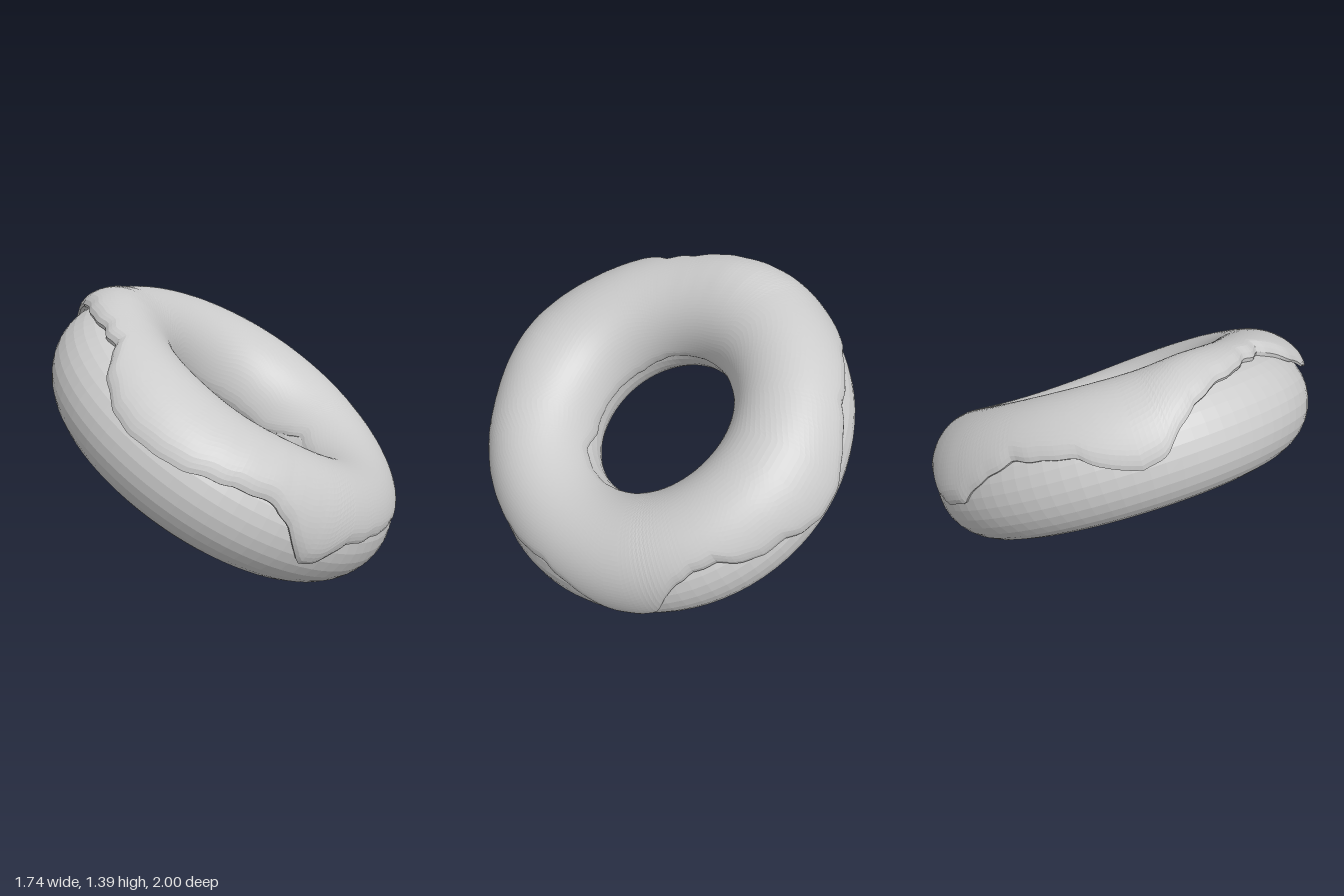
import * as THREE from 'three';

const R = 0.688, TUBE = 0.283, TILT = THREE.MathUtils.degToRad(32.4);

// Height of the icing's outer edge around the ring: [angle in degrees, height]
const OUTER = [
  [-180, .19], [-174, .15], [-168, .07], [-163, -.02], [-156, -.06], [-149, -.02], [-141, .07],
  [-130, .11], [-122, .13], [-112, .09], [-106, .04], [-100, -.01], [-90, -.02], [-84, .03],
  [-80, .09], [-72, .10], [-60, .19], [-52, .20], [-46, .17], [-40, .09], [-35, -.03], [-30, -.06],
  [-24, -.05], [-11, .11], [-1, .18], [11, .165], [29, .15], [48, .11], [56, 0], [62, -.03],
  [66, .04], [71, .13], [77, .188], [90, .185], [102, .13], [115, .09], [127, .10],
  [139, .186], [148, .25], [160, .24], [170, .22], [180, .19],
];
// The same for the edge inside the hole
const INNER = [
  [-180, .05], [-160, .05], [-145, .04], [-120, 0], [-60, -.02], [-40, .07], [-30, .12], [-15, .11],
  [0, .13], [20, .12], [40, .10], [55, .01], [120, 0], [145, .04], [160, .04], [180, .05],
];

function sample(keys, deg) {
  let k = 1;
  while (k < keys.length - 1 && keys[k][0] < deg) k++;
  const [a, b] = [keys[k - 1], keys[k]];
  return THREE.MathUtils.lerp(a[1], b[1], (deg - a[0]) / (b[0] - a[0]));
}

// Bell curve around an angle, wrapping at the full turn
function bell(deg, centre, width) {
  const d = ((deg - centre + 540) % 360) - 180;
  return Math.exp(-((d / width) ** 2));
}

function ringPoint(theta, phi, radius) {
  const r = R + radius * Math.cos(phi);
  return [r * Math.cos(theta), radius * Math.sin(phi), r * Math.sin(theta)];
}

// Closed shell swept round the ring, with uneven edges, drips and lifted flaps
function icingGeometry() {
  const turns = 240, steps = 40, under = 10;
  const loop = steps + under + 2;
  const pos = [], index = [];
  for (let i = 0; i < turns; i++) {
    const deg = -180 + (360 * i) / turns, theta = THREE.MathUtils.degToRad(deg);
    const wobble = 0.004 * Math.sin(theta * 23) + 0.003 * Math.sin(theta * 41 + 1);
    const flap = bell(deg, 182, 20), lip = bell(deg, 98, 26);
    const raise = 0.025 * flap + 0.065 * lip;
    const start = Math.asin((sample(OUTER, deg) + wobble) / (TUBE + 0.015 + raise));
    const end = Math.PI - Math.asin((sample(INNER, deg) + wobble * 0.5) / 0.3);
    const drip = bell(deg, -93, 12) + 0.6 * bell(deg, 60, 8);
    const thin = 1 - 0.5 * bell(deg, 0, 45);
    const sides = Math.sin(theta) ** 2;
    const lift = (s) => raise * Math.exp(-((s / 0.3) ** 2));
    // top surface, thickest on the crown and tapering at both edges
    for (let j = 0; j <= steps; j++) {
      const s = j / steps, phi = THREE.MathUtils.lerp(start, end, s);
      const crown = Math.max(0, Math.sin(phi));
      const rim = Math.min(1, Math.sqrt(Math.min(s, 1 - s) / 0.08));
      const body = thin * (0.02 + (0.044 + 0.022 * sides) * crown * crown) * (1 - 0.4 * lip * (1 - s))
        + 0.017 * drip * Math.exp(-((s / 0.25) ** 2))
        + 0.018 * flap * Math.exp(-(((s - 0.25) / 0.18) ** 2));
      pos.push(...ringPoint(theta, phi, TUBE + body * (0.3 + 0.7 * rim) + lift(s)));
    }
    // underside, back to the outer edge
    for (let j = under; j >= 0; j--) {
      const s = j / under;
      pos.push(...ringPoint(theta, THREE.MathUtils.lerp(start, end, s), TUBE - 0.004 + lift(s)));
    }
  }
  for (let i = 0; i < turns; i++) {
    const n = (i + 1) % turns;
    for (let j = 0; j < loop; j++) {
      const k = (j + 1) % loop;
      const a = i * loop + j, b = i * loop + k, c = n * loop + j, d = n * loop + k;
      index.push(a, b, c, b, d, c);
    }
  }
  const geo = new THREE.BufferGeometry();
  geo.setAttribute('position', new THREE.Float32BufferAttribute(pos, 3));
  geo.setIndex(index);
  geo.computeVertexNormals();
  return geo;
}

export function createModel() {
  const material = new THREE.MeshStandardMaterial({ color: 0xcccccc, flatShading: true });

  // Plain dough ring
  const dough = new THREE.Mesh(new THREE.TorusGeometry(R, TUBE, 32, 80).rotateX(Math.PI / 2), material);
  dough.name = 'dough';

  // Dripping icing over the upper half
  const icing = new THREE.Mesh(icingGeometry(), material);
  icing.name = 'icing';

  // The ring leans down towards its left side
  const ring = new THREE.Group();
  ring.name = 'doughnut';
  ring.add(dough, icing);
  ring.rotation.z = -TILT;
  ring.position.y = R * Math.sin(TILT) + TUBE;

  const model = new THREE.Group();
  model.name = 'icedDoughnut';
  model.add(ring);
  return model;
}
